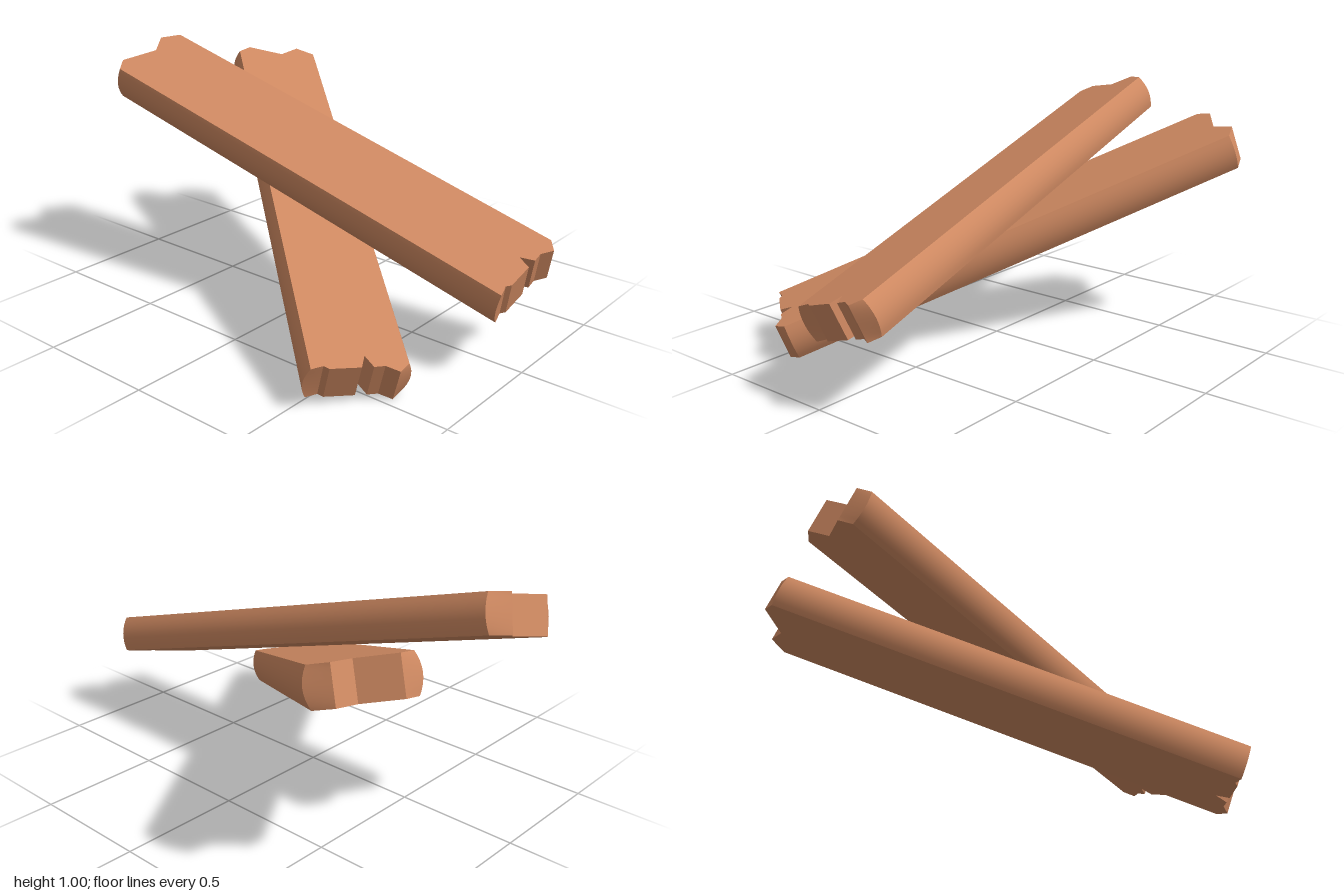
import * as THREE from 'three';
import { toCreasedNormals } from 'three/addons/utils/BufferGeometryUtils.js';

const THICKNESS = 0.15;
const HALF_WIDTH = 0.178;
const BULGE = 0.02;

// Splintered ends as [along, across], running round the plank counter-clockwise
const RIGHT_END = [
  [0.982, -HALF_WIDTH], [0.97, -0.131], [0.984, -0.112], [0.984, 0.004], [0.932, 0.024],
  [0.984, 0.048], [0.982, 0.09], [1.011, 0.138], [0.975, HALF_WIDTH],
];
const LEFT_END = [
  [-0.974, HALF_WIDTH], [-1.022, 0.105], [-0.97, 0.023],
  [-1.025, -0.125], [-0.988, -HALF_WIDTH],
];

// Plank with its top face at z = 0 and rounded long sides
function plankGeometry() {
  const outline = [...RIGHT_END, ...LEFT_END].map(([a, b]) => new THREE.Vector2(a, b));
  const geometry = new THREE.ExtrudeGeometry(new THREE.Shape(outline), {
    depth: THICKNESS, steps: 8, bevelEnabled: false,
  });
  geometry.translate(0, 0, -THICKNESS);
  const p = geometry.attributes.position;
  for (let i = 0; i < p.count; i++) {
    const b = p.getY(i);
    if (Math.abs(b) < HALF_WIDTH - 0.001) continue;
    const t = (2 * p.getZ(i)) / THICKNESS + 1;
    p.setY(i, b + Math.sign(b) * BULGE * (1 - t * t));
  }
  return toCreasedNormals(geometry, 0.5);
}

export function createModel() {
  const group = new THREE.Group();
  const geometry = plankGeometry();
  const material = new THREE.MeshStandardMaterial({ color: 0xd08a62 });

  // Place a plank by its top centre, its length direction and its width direction
  const addPlank = (name, centre, along, across) => {
    const u = new THREE.Vector3(...along).normalize();
    const n = u.clone().cross(new THREE.Vector3(...across)).normalize();
    const w = n.clone().cross(u);
    const plank = new THREE.Mesh(geometry, material);
    plank.name = name;
    plank.quaternion.setFromRotationMatrix(new THREE.Matrix4().makeBasis(u, w, n));
    plank.position.set(...centre);
    group.add(plank);
  };

  addPlank('upperPlank', [0.029, 0.674, 0.01], [0.959, -0.278, -0.054], [0.03, 0.288, -0.955]);
  addPlank('lowerPlank', [-0.026, 0.505, -0.002], [0.725, -0.355, 0.59], [0.608, -0.073, -0.791]);
  return group;
}
